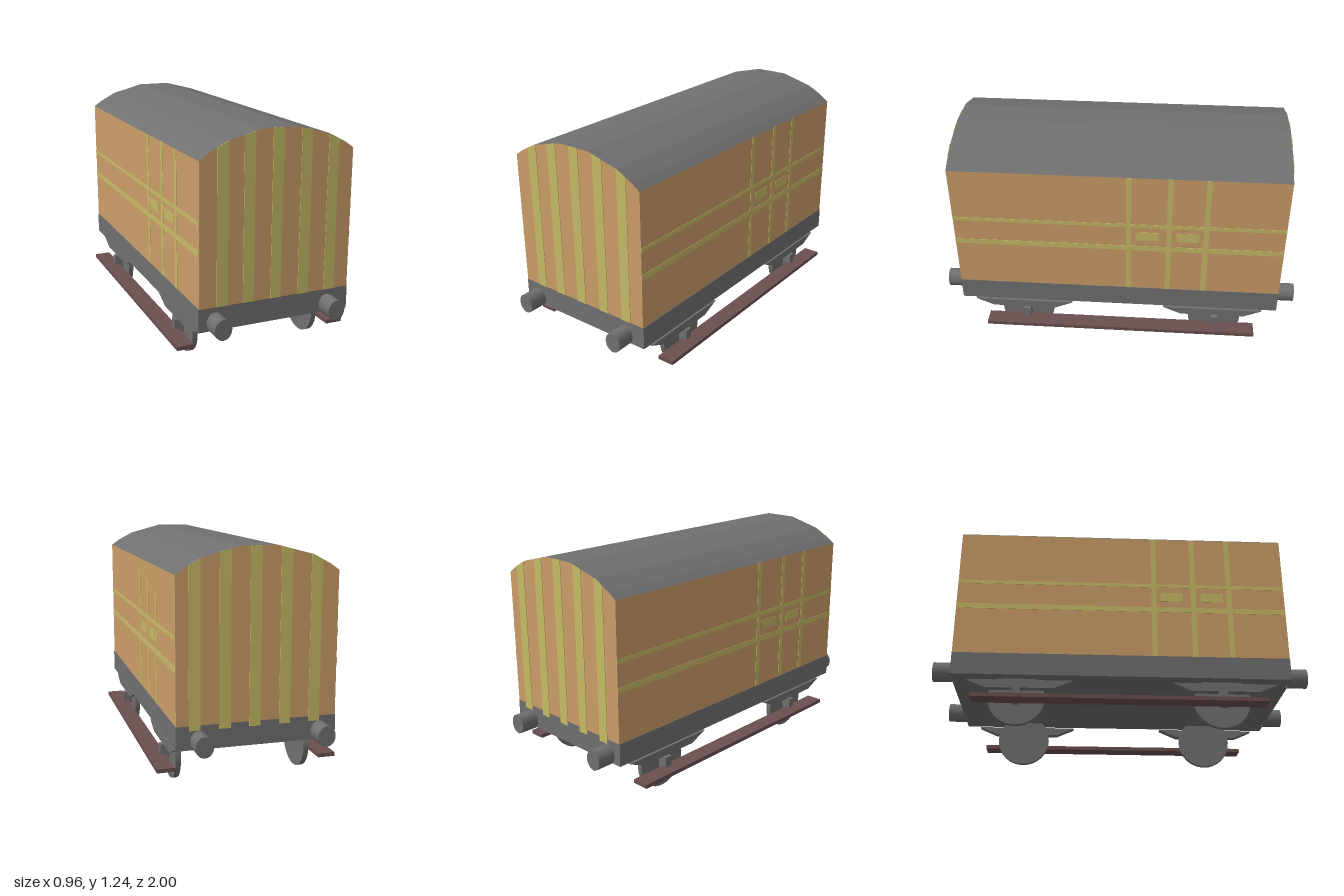
import * as THREE from 'three';

const mat = (name, color) => {
  const m = new THREE.MeshStandardMaterial({ color });
  m.name = name;
  return m;
};

// Arched end profile, as [x, y] points across the roof
const CX = -0.004;
const ARCH = [[-0.412, 1.107], [-0.367, 1.139], [-0.276, 1.187], [-0.093, 1.235],
  [0.093, 1.235], [0.276, 1.187], [0.367, 1.139], [0.412, 1.107]].map(([x, y]) => [x + CX, y]);

function archHeight(x) {
  for (let i = 1; i < ARCH.length; i++) {
    const [x0, y0] = ARCH[i - 1], [x1, y1] = ARCH[i];
    if (x <= x1) return y0 + (y1 - y0) * (x - x0) / (x1 - x0);
  }
  return ARCH[ARCH.length - 1][1];
}

export function createModel() {
  const model = new THREE.Group();
  model.name = 'boxWagon';
  const orange = mat('orange panelling', 0xcb9d68);
  const yellow = mat('yellow trim', 0xc8bb66);
  const grey = mat('grey metal', 0x707070);
  const brown = mat('brown board', 0x6b4f4f);

  const add = (name, geometry, material) => {
    const mesh = new THREE.Mesh(geometry, material);
    mesh.name = name;
    model.add(mesh);
    return mesh;
  };
  // Box given by its lower and upper limits
  const box = (name, material, x0, x1, y0, y1, z0, z1) => {
    const mesh = add(name, new THREE.BoxGeometry(x1 - x0, y1 - y0, z1 - z0), material);
    mesh.position.set((x0 + x1) / 2, (y0 + y1) / 2, (z0 + z1) / 2);
    return mesh;
  };
  const extrude = (name, points, depth, material) => add(name, new THREE.ExtrudeGeometry(
    new THREE.Shape(points.map(([x, y]) => new THREE.Vector2(x, y))),
    { depth, bevelEnabled: false }), material);

  // Underframe and body
  box('underframe', grey, CX - 0.415, CX + 0.415, 0.255, 0.377, -0.9, 0.9);
  box('body', orange, CX - 0.412, CX + 0.412, 0.377, 1.107, -0.9, 0.9);

  // Arched roof: orange gables, grey covering
  extrude('roof', ARCH.slice().reverse(), 1.8, [orange, grey]).position.z = -0.9;

  // Vertical stripes on both ends, cut to the arch
  const endStripes = (name, centres, bottom, z) => {
    for (const c of centres) {
      const a = c - 0.029, b = c + 0.029;
      const top = ARCH.filter(([x]) => x > a && x < b).reverse();
      extrude(name, [[a, bottom], [b, bottom], [b, archHeight(b)], ...top, [a, archHeight(a)]],
        0.004, yellow).position.z = z;
    }
  };
  endStripes('frontStripe', [-0.296, -0.156, -0.006, 0.148, 0.298], 0.377, 0.899);
  endStripes('backStripe', [-0.3, -0.145, 0.01, 0.163, 0.315], 0.352, -0.903);

  for (const s of [1, -1]) {
    // Painted lines and label panels; plates sit just proud of each side wall
    const wall = CX + s * 0.412;
    const plate = (name, y0, y1, z0, z1) =>
      box(name, yellow, wall - 0.002, wall + 0.002, y0, y1, z0, z1);
    plate('upperLine', 0.795, 0.816, -0.9, 0.9);
    plate('lowerLine', 0.642, 0.672, -0.9, 0.9);
    const doorStart = s > 0 ? -0.058 : 0.175;
    for (const offset of [0, 0.218, 0.418]) {
      const z = doorStart - s * offset;
      plate('doorLine', 0.377, 1.107, z - 0.014, z + 0.014);
    }
    for (const offset of [0.098, 0.32]) {
      const z = doorStart - s * offset;
      plate('labelPanel', 0.71, 0.763, z - 0.061, z + 0.061);
    }

    // Footboard
    const board = [s * 0.386, s * 0.478].sort((a, b) => a - b);
    box('footboard', brown, ...board, 0.108, 0.129, -0.78, 0.757);

    for (const z of [0.533, -0.554]) {
      // Wheel disc
      const wheel = add('wheel', new THREE.CylinderGeometry(0.149, 0.149, 0.028, 32), grey);
      wheel.rotation.z = Math.PI / 2;
      wheel.position.set(s * 0.349, 0.149, z);

      // Axle box
      const axle = [s * 0.36, s * 0.414].sort((a, b) => a - b);
      box('axleBox', grey, ...axle, 0.109, 0.184, z - 0.021, z + 0.021);

      // Tapered leaf spring
      const spring = extrude('spring',
        [[-0.18, 0.189], [0.18, 0.189], [0.281, 0.233], [-0.281, 0.233]], 0.044, grey);
      spring.rotation.y = Math.PI / 2;
      spring.position.set(s * 0.379 - 0.022, 0, z + 0.015);
    }

    // Pair of buffers on this end
    for (const x of [-0.332, 0.292]) {
      const buffer = add('buffer', new THREE.CylinderGeometry(0.046, 0.046, 0.11, 24), grey);
      buffer.rotation.x = Math.PI / 2;
      buffer.scale.z = 1.16;
      buffer.position.set(x, 0.297, s * 0.945);
    }
  }
  return model;
}
